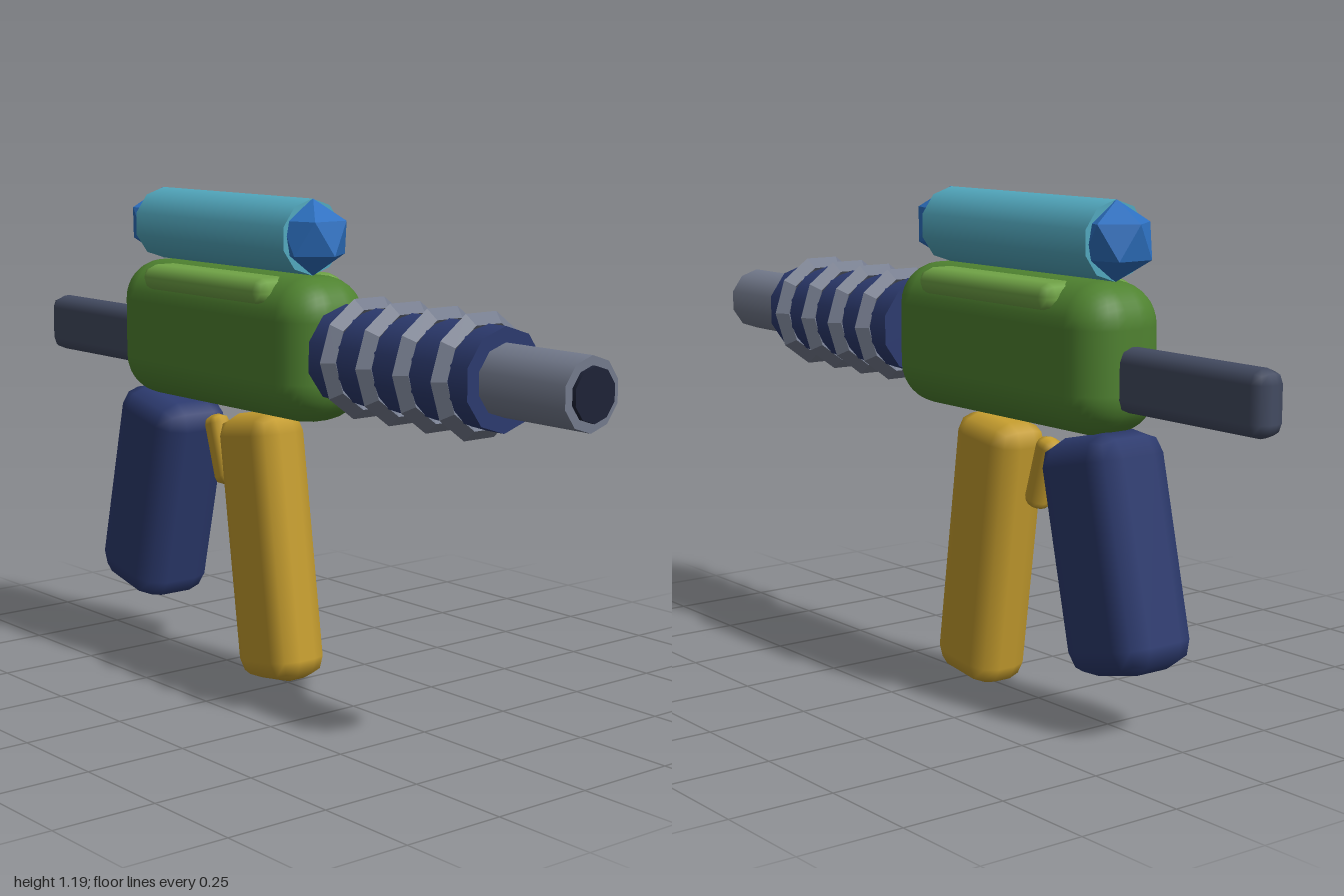
import * as THREE from 'three';
import { RoundedBoxGeometry } from 'three/addons/geometries/RoundedBoxGeometry.js';

const mat = (color, flatShading = false) => new THREE.MeshStandardMaterial({ color, flatShading });
const GREEN = mat(0x4f8230), LIME = mat(0x70a346), NAVY = mat(0x2c3a6e), STEEL = mat(0x737a8c);
const STEEL_FLAT = mat(0x737a8c, true), GOLD = mat(0xc49c2e), SLATE = mat(0x434b61);
const DARK = mat(0x1d2236), TEAL = mat(0x52a8be), GEM = mat(0x2d70c0, true);

export function createModel() {
  const model = new THREE.Group();
  model.name = 'toyBlaster';

  const add = (name, geometry, material, y, z, tilt = 0) => {
    const mesh = new THREE.Mesh(geometry, material);
    mesh.name = name;
    mesh.position.set(0, y, z);
    mesh.rotation.x = tilt;
    model.add(mesh);
    return mesh;
  };
  const box = (name, material, [w, h, d], radius, segments, y, z, tilt) =>
    add(name, new RoundedBoxGeometry(w, h, d, segments, radius), material, y, z, tilt);
  // Ten-sided tube lying along z, from z0 to z1
  const tube = (name, material, radius, y, z0, z1) =>
    add(name, new THREE.CylinderGeometry(radius, radius, z1 - z0, 10).rotateX(Math.PI / 2), material, y, (z0 + z1) / 2);

  // Receiver with its side rails, and the stock behind
  box('body', GREEN, [0.24, 0.345, 0.775], 0.1, 4, 0.838, -0.187);
  box('sideRails', LIME, [0.262, 0.066, 0.49], 0.03, 1, 0.973, -0.185);
  box('stock', SLATE, [0.08, 0.146, 0.505], 0.032, 1, 0.8, -0.75);

  // Grips and trigger
  box('frontGrip', GOLD, [0.15, 0.66, 0.21], 0.052, 1, 0.332, -0.065, -0.14);
  box('rearGrip', NAVY, [0.21, 0.54, 0.25], 0.06, 1, 0.402, -0.52, 0.23);
  box('trigger', GOLD, [0.055, 0.178, 0.06], 0.022, 1, 0.545, -0.265, -0.3);

  // Barrel, cooling rings and muzzle
  const axis = 0.838;
  tube('barrel', NAVY, 0.116, axis, 0.215, 0.74);
  tube('barrelTip', STEEL, 0.081, axis, 0.73, 0.99);
  tube('muzzle', DARK, 0.06, axis, 0.95, 1);
  for (let i = 0; i < 4; i++) {
    add('coolingRing', new THREE.TorusGeometry(0.12, 0.025, 4, 10), STEEL_FLAT, axis, 0.297 + i * 0.122);
  }

  // Energy tank with faceted gem ends, one gem vertex pointing up
  tube('tank', TEAL, 0.09, 1.1, -0.507, 0.092);
  const gem = new THREE.IcosahedronGeometry(0.09, 0)
    .rotateX(Math.atan((1 + Math.sqrt(5)) / 2) * -1)
    .rotateY(Math.PI);
  for (const z of [0.095, -0.51]) add('tankGem', gem, GEM, 1.1, z);

  return model;
}
